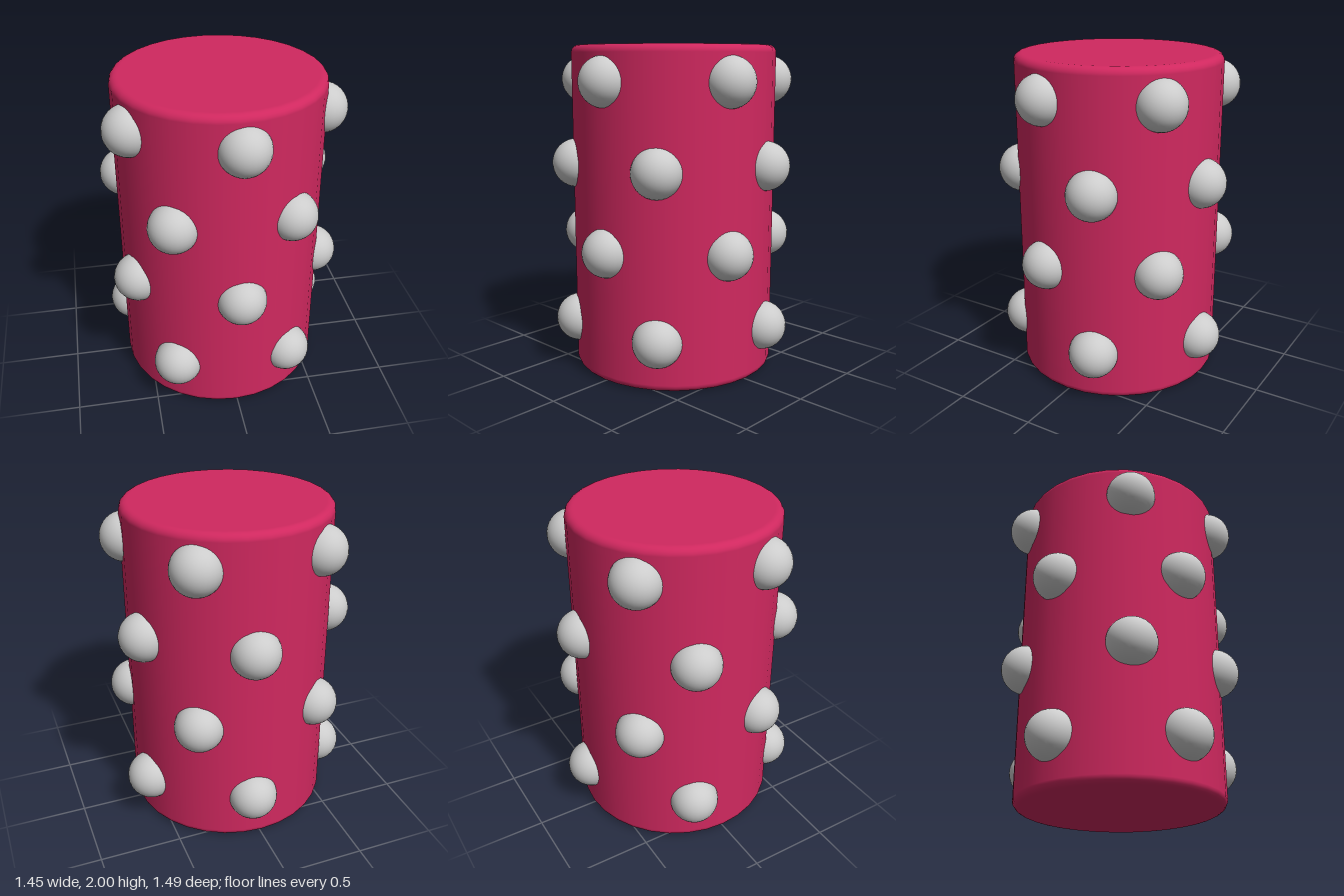
import * as THREE from 'three';

export function createModel() {
  const group = new THREE.Group();
  const bodyMaterial = new THREE.MeshStandardMaterial({ color: 0xd0285f });
  const studMaterial = new THREE.MeshStandardMaterial({ color: 0xcccccc });

  // Cylinder body with small rounded rims
  const radius = 0.627, height = 2, bevel = 0.045, steps = 5;
  const profile = [new THREE.Vector2(0, 0), new THREE.Vector2(radius - bevel - 0.01, 0)];
  const rim = (y, from) => {
    for (let i = 0; i <= steps; i++) {
      const a = from + (i / steps) * Math.PI / 2;
      profile.push(new THREE.Vector2(radius - bevel + bevel * Math.cos(a), y + bevel * Math.sin(a)));
    }
  };
  rim(bevel, -Math.PI / 2);
  rim(height - bevel, 0);
  profile.push(new THREE.Vector2(radius - bevel - 0.01, height), new THREE.Vector2(0, height));
  const body = new THREE.Mesh(new THREE.LatheGeometry(profile, 32), bodyMaterial);
  body.name = 'body';
  body.position.set(-0.01, 0, 0.002);
  group.add(body);

  // Two staggered rings of five studs, each repeated at two heights: [x, z]
  const ringA = [[0.02, 0.595], [0.57, 0.15], [0.35, -0.483], [-0.397, -0.462], [-0.557, 0.255]];
  const ringB = [[0.33, 0.49], [0.575, -0.177], [0.05, -0.595], [-0.58, -0.197], [-0.357, 0.5]];
  const studGeometry = new THREE.SphereGeometry(0.149, 32, 20);
  const addRing = (ring, y, name) => {
    const studs = new THREE.Group();
    studs.name = name;
    for (const [x, z] of ring) {
      const stud = new THREE.Mesh(studGeometry, studMaterial);
      stud.name = 'stud';
      stud.position.set(x, y, z);
      studs.add(stud);
    }
    group.add(studs);
  };
  addRing(ringB, 0.298, 'bottomStudRing');
  addRing(ringA, 0.8, 'lowerStudRing');
  addRing(ringB, 1.29, 'upperStudRing');
  addRing(ringA, 1.79, 'topStudRing');
  return group;
}
